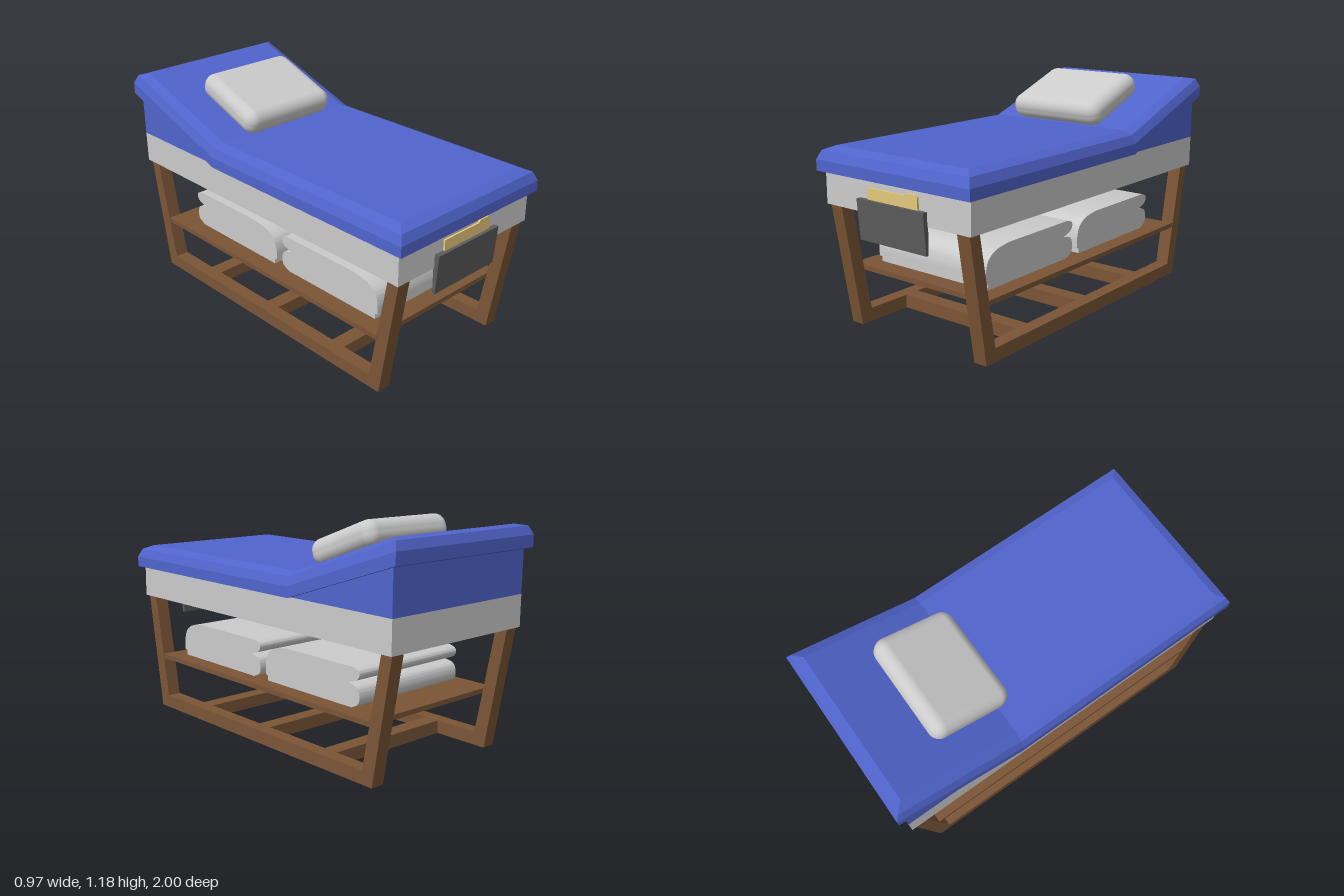
import * as THREE from 'three';
import { toCreasedNormals } from 'three/addons/utils/BufferGeometryUtils.js';
import { RoundedBoxGeometry } from 'three/addons/geometries/RoundedBoxGeometry.js';

const mat = (color, extra = {}) => new THREE.MeshStandardMaterial({ color, ...extra });
const grey = mat(0xcccccc);
const blue = mat(0x5064cc);
const blueFlat = mat(0x5064cc, { flatShading: true });
const wood = mat(0x7b5536);
const dark = mat(0x5c5c5c);
const tan = mat(0xe4c87a);

export function createModel() {
  const model = new THREE.Group();
  model.name = 'treatmentTable';
  // whole table stands at a very slight tilt
  const table = new THREE.Group();
  table.name = 'table';
  table.rotation.x = -0.01;
  table.position.z = 0.006;
  model.add(table);

  const add = (name, geometry, material, x = 0, y = 0, z = 0) => {
    const mesh = new THREE.Mesh(geometry, material);
    mesh.name = name;
    mesh.position.set(x, y, z);
    table.add(mesh);
    return mesh;
  };
  const box = (name, w, h, d, material, x, y, z) =>
    add(name, new THREE.BoxGeometry(w, h, d), material, x, y, z);
  const vecs = (pts) => pts.map(([a, b]) => new THREE.Vector2(a, b));

  // extrude a side profile of (z, y) points across x, centred
  const across = (shape, width) => {
    const g = new THREE.ExtrudeGeometry(shape, { depth: width, bevelEnabled: false });
    return g.translate(0, 0, -width / 2).rotateY(-Math.PI / 2);
  };

  // side frames: splayed legs joined by a floor rail
  const frame = new THREE.Shape(vecs([
    [0.955, 0.647], [0.848, 0.011], [-0.848, 0.011], [-0.955, 0.647],
    [-0.89, 0.647], [-0.785, 0.08], [0.785, 0.08], [0.89, 0.647],
  ]));
  for (const s of [-1, 1]) add('sideFrame', across(frame, 0.073), wood, s * 0.406);

  // floor cross bars and shelf
  for (const z of [0.5, 0, -0.5]) box('crossBar', 0.742, 0.069, 0.085, wood, 0, 0.0455, z);
  box('shelf', 0.88, 0.025, 1.65, wood, 0, 0.306, 0);

  // folded blankets on the shelf, fold opening towards the back
  const blanketShape = new THREE.Shape();
  blanketShape.moveTo(0.725, 0.318);
  blanketShape.lineTo(0.725, 0.345);
  blanketShape.lineTo(0.742, 0.352);
  blanketShape.splineThru(vecs([[0.74, 0.41], [0.72, 0.463], [0.665, 0.499], [0.57, 0.515]]));
  blanketShape.lineTo(0.10, 0.515);
  blanketShape.splineThru(vecs([[0.068, 0.503], [0.06, 0.48], [0.08, 0.455], [0.135, 0.437]]));
  blanketShape.splineThru(vecs([[0.08, 0.423], [0.06, 0.39], [0.065, 0.345], [0.11, 0.318]]));
  const blanketGeo = toCreasedNormals(across(blanketShape, 0.695), 0.7);
  for (const z of [0, -0.727]) add('foldedBlanket', blanketGeo, grey, 0.002, 0, z);

  // body: grey apron with a blue underside, and wedge below the raised head end
  const apron = [grey, grey, grey, blue, grey, grey];
  box('apron', 0.918, 0.166, 1.93, apron, 0, 0.729, 0);
  const wedge = new THREE.Shape(vecs([[-0.3, 0.811], [-0.965, 0.811], [-0.965, 1.032]]));
  add('headWedge', across(wedge, 0.918), blue);

  add('mattress', mattressGeometry(), blueFlat);

  // pillow lying on the raised head end
  const pillow = add('pillow', new RoundedBoxGeometry(0.57, 0.135, 0.445, 6, 0.06), grey, 0, 1.064, -0.443);
  pillow.rotation.x = 0.36;

  // tapered document pocket on the front
  const pocket = new THREE.Shape(vecs([[0.96, 0.715], [0.96, 0.513], [0.975, 0.513], [0.992, 0.715]]));
  add('documentPocket', across(pocket, 0.425), dark, -0.008);

  // folder with an index tab
  const folder = new THREE.Shape(vecs([
    [-0.165, 0.6], [0.155, 0.6], [0.155, 0.775], [0.145, 0.784],
    [0.085, 0.784], [0.075, 0.771], [-0.165, 0.771],
  ]));
  add('folder', new THREE.ExtrudeGeometry(folder, { depth: 0.012, bevelEnabled: false }), tan, 0, 0, 0.963);

  return model;
}

// mattress: stacked outlines that bend up towards the head, with a chamfered rim
function mattressGeometry() {
  const bend = -0.31;
  const rings = [[0, 0], [0, 0.055], [0.02, 0.1], [0.068, 0.122]]; // inset, height
  const pos = [];
  const index = [];
  for (const [inset, h] of rings) {
    const x = 0.485 - inset;
    const z = 1 - inset;
    const mid = bend + h * 0.08;
    const head = 0.811 + 0.335 * (z + bend) + h * 1.1;
    const foot = 0.811 + h;
    pos.push(x, foot, z, x, foot, mid, x, head, -z, -x, head, -z, -x, foot, mid, -x, foot, z);
  }
  const quad = (a, b, c, d) => index.push(a, b, c, a, c, d);
  for (let r = 0; r < rings.length - 1; r++) {
    for (let i = 0; i < 6; i++) {
      const j = (i + 1) % 6;
      quad(r * 6 + i, r * 6 + j, r * 6 + 6 + j, r * 6 + 6 + i);
    }
  }
  const t = (rings.length - 1) * 6;
  quad(t, t + 1, t + 4, t + 5);
  quad(t + 1, t + 2, t + 3, t + 4);
  quad(5, 4, 1, 0);
  quad(4, 3, 2, 1);
  const g = new THREE.BufferGeometry();
  g.setAttribute('position', new THREE.Float32BufferAttribute(pos, 3));
  g.setIndex(index);
  const flat = g.toNonIndexed();
  flat.computeVertexNormals();
  return flat;
}
